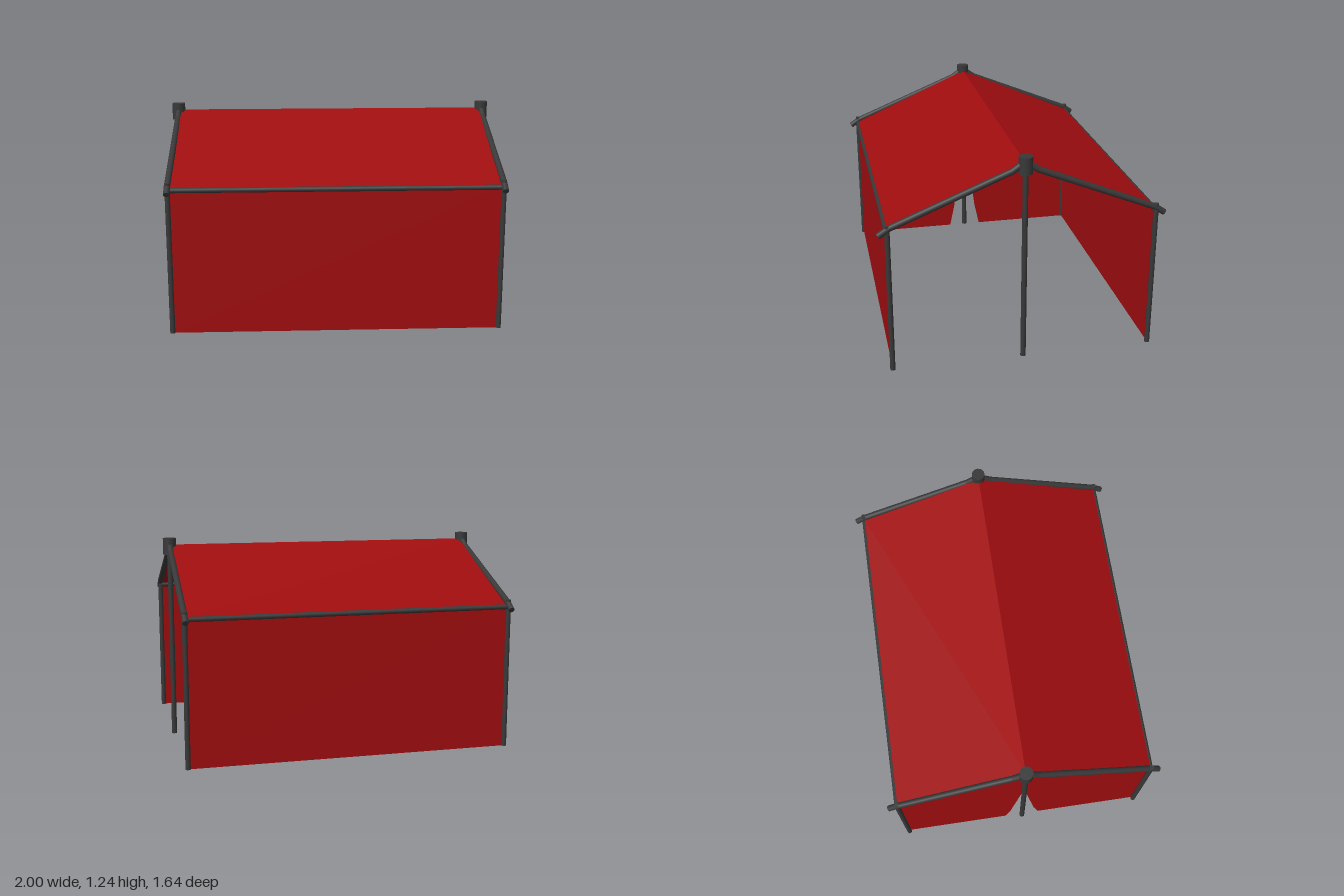
import * as THREE from 'three';

const canvas = new THREE.MeshStandardMaterial({ color: 0xa00d0f, side: THREE.DoubleSide });
const metal = new THREE.MeshStandardMaterial({ color: 0x383838 });

const POLE_X = 0.96, EAVE_Z = 0.763, EAVE_Y = 0.868, RIDGE_Y = 1.2, CLOTH_X = 0.952;

const v = (x, y, z) => new THREE.Vector3(x, y, z);

function add(parent, name, geometry, material) {
  const mesh = new THREE.Mesh(geometry, material);
  mesh.name = name;
  parent.add(mesh);
  return mesh;
}

// Round bar between two points
function bar(parent, name, a, b, radius) {
  const mesh = add(parent, name, new THREE.CylinderGeometry(radius, radius, a.distanceTo(b), 16), metal);
  mesh.position.copy(a).lerp(b, 0.5);
  mesh.quaternion.setFromUnitVectors(v(0, 1, 0), b.clone().sub(a).normalize());
}

// Flat four-cornered sheet of cloth
function sheet(parent, name, a, b, c, d) {
  const geometry = new THREE.BufferGeometry().setFromPoints([a, b, c, d]);
  geometry.setIndex([0, 1, 2, 0, 2, 3]);
  geometry.computeVertexNormals();
  add(parent, name, geometry, canvas);
}

// Bent rafter from the ridge cap to just beyond the eave
function rafter(parent, x, s) {
  const group = new THREE.Group();
  group.name = 'rafter';
  const points = [[1.2, 0.012], [1.157, 0.075], [0.88, 0.755], [0.842, 0.812]].map(([y, z]) => v(x, y, z * s));
  for (let i = 0; i < 3; i++) bar(group, 'rafterSection', points[i], points[i + 1], 0.018);
  for (const p of points.slice(1, 3)) {
    add(group, 'rafterBend', new THREE.SphereGeometry(0.018, 16, 10), metal).position.copy(p);
  }
  parent.add(group);
}

export function createModel() {
  const tent = new THREE.Group();
  tent.name = 'tent';

  // Frame at both ends
  for (const x of [-POLE_X, POLE_X]) {
    bar(tent, 'centrePole', v(x, 0, 0), v(x, 1.2, 0), 0.016);
    bar(tent, 'ridgeCap', v(x, 1.14, 0), v(x, 1.24, 0), 0.04);
    for (const s of [-1, 1]) {
      bar(tent, 'cornerPost', v(x, 0, s * EAVE_Z), v(x, 0.898, s * EAVE_Z), 0.015);
      rafter(tent, x, s);
    }
  }

  // Long sides: eave bar, wall and roof slope
  for (const s of [-1, 1]) {
    const z = s * EAVE_Z;
    bar(tent, 'eaveBar', v(-POLE_X, 0.855, z), v(POLE_X, 0.855, z), 0.015);
    sheet(tent, 'sideWall', v(-s * CLOTH_X, 0, z), v(s * CLOTH_X, 0, z),
      v(s * CLOTH_X, EAVE_Y, z), v(-s * CLOTH_X, EAVE_Y, z));
    sheet(tent, 'roofSlope', v(-s * CLOTH_X, EAVE_Y, z), v(s * CLOTH_X, EAVE_Y, z),
      v(s * CLOTH_X, RIDGE_Y, 0), v(-s * CLOTH_X, RIDGE_Y, 0));
  }

  // End wall on one side only, with a flared door slit
  const outline = [
    [-EAVE_Z, 0], [-0.11, 0], [-0.078, 0.15], [-0.015, 0.65], [0, 0.76],
    [0.015, 0.65], [0.078, 0.15], [0.11, 0], [EAVE_Z, 0], [EAVE_Z, EAVE_Y], [0, RIDGE_Y], [-EAVE_Z, EAVE_Y],
  ].map(([a, b]) => new THREE.Vector2(a, b));
  const endWall = add(tent, 'endWall', new THREE.ShapeGeometry(new THREE.Shape(outline)), canvas);
  endWall.rotation.y = -Math.PI / 2;
  endWall.position.x = -CLOTH_X;

  return tent;
}
